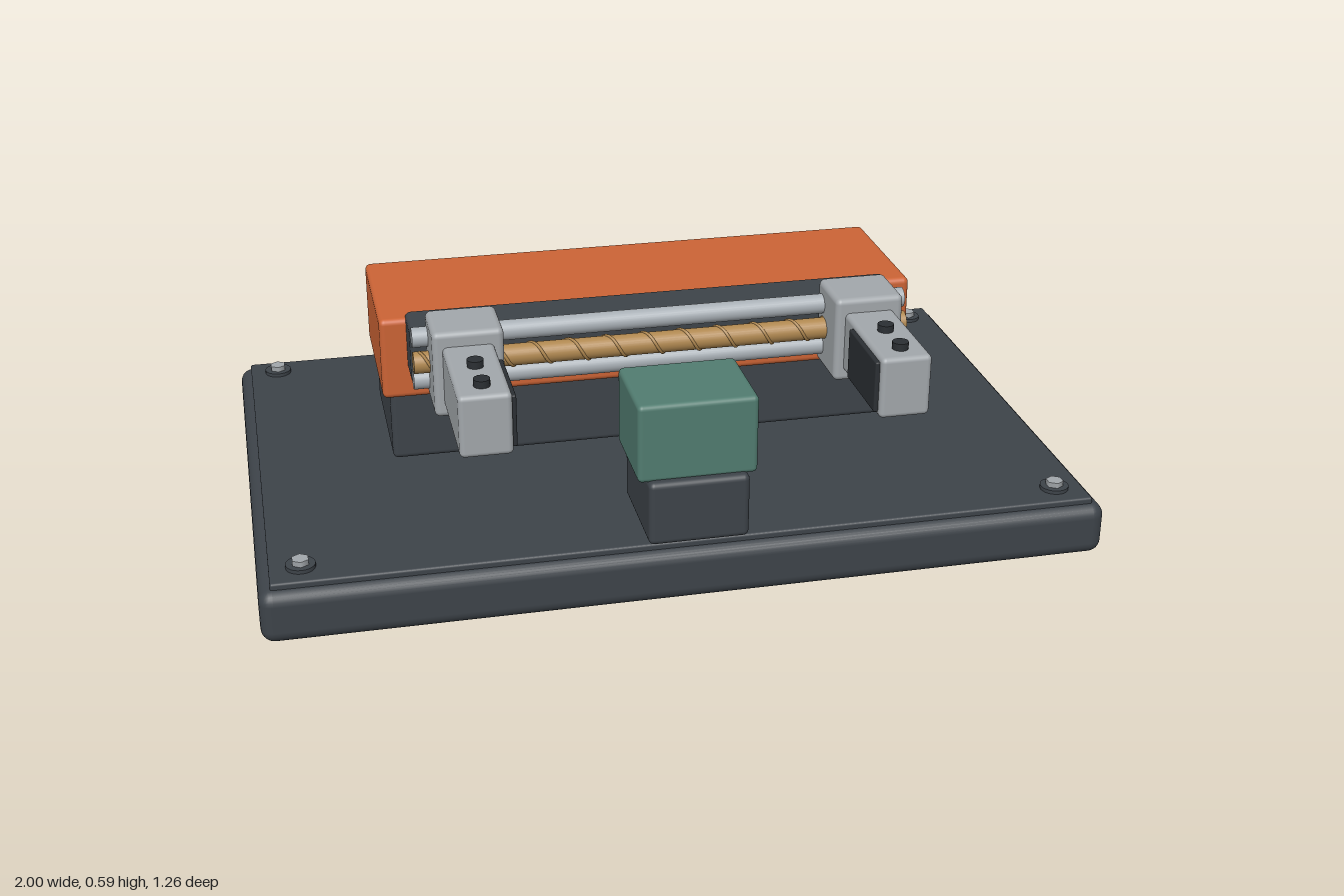
import * as THREE from 'three';
import { RoundedBoxGeometry } from 'three/addons/geometries/RoundedBoxGeometry.js';

const mat = (name, color) => {
  const m = new THREE.MeshStandardMaterial({ color });
  m.name = name;
  return m;
};

export function createModel() {
  const charcoal = mat('charcoal', 0x3d4349);
  const orange = mat('orange', 0xcb6335);
  const lightGrey = mat('light grey', 0xa2a7ab);
  const steel = mat('steel', 0xa9b0b6);
  const teal = mat('teal', 0x517c70);
  const brass = mat('brass', 0xb08850);
  const black = mat('black', 0x2b2f33);

  const model = new THREE.Group();
  model.name = 'parallelGripper';

  const add = (name, geometry, material, x = 0, y = 0, z = 0, parent = model) => {
    const mesh = new THREE.Mesh(geometry, material);
    mesh.name = name;
    mesh.position.set(x, y, z);
    parent.add(mesh);
    return mesh;
  };
  // Rounded box given by its lower and upper limits on each axis
  const box = (name, material, [x0, x1], [y0, y1], [z0, z1], r = 0.012, parent = model) =>
    add(name, new RoundedBoxGeometry(x1 - x0, y1 - y0, z1 - z0, 3, r), material,
      (x0 + x1) / 2, (y0 + y1) / 2, (z0 + z1) / 2, parent);
  // Rod lying along x
  const rod = (name, material, r, length, y, z) =>
    add(name, new THREE.CylinderGeometry(r, r, length, 28).rotateZ(Math.PI / 2), material, 0, y, z);

  // Base slab and raised deck
  box('baseSlab', charcoal, [-1, 1], [0, 0.13], [-0.632, 0.632], 0.032);
  box('deckPlate', charcoal, [-0.972, 0.972], [0.11, 0.144], [-0.607, 0.607], 0.006);

  // Corner bolts with washers
  for (const x of [-0.9, 0.9]) for (const z of [-0.54, 0.54]) {
    const bolt = new THREE.Group();
    bolt.name = 'cornerBolt';
    bolt.position.set(x, 0, z);
    model.add(bolt);
    add('washer', new THREE.CylinderGeometry(0.034, 0.034, 0.012, 24), charcoal, 0, 0.147, 0, bolt);
    add('boltHead', new THREE.CylinderGeometry(0.021, 0.021, 0.016, 6), lightGrey, 0, 0.158, 0, bolt);
  }

  // Drive housing with its cover and the rail block in front
  box('driveHousing', charcoal, [-0.645, 0.645], [0.153, 0.395], [-0.312, 0.072], 0.014);
  box('housingCover', orange, [-0.664, 0.664], [0.33, 0.537], [-0.295, 0.099], 0.014);
  box('railBlock', charcoal, [-0.6, 0.6], [0.403, 0.548], [0.07, 0.19], 0.014);

  // Guide rods and lead screw
  for (const y of [0.435, 0.542]) rod('guideRod', steel, 0.024, 1.2, y, 0.224);
  const screwY = 0.487, screwZ = 0.246;
  rod('leadScrew', brass, 0.026, 1.2, screwY, screwZ);
  const pitch = 0.09, turns = 13, points = [];
  for (let i = 0; i <= turns * 12; i++) {
    const a = (i / 12) * Math.PI * 2;
    points.push(new THREE.Vector3((i / 12 - turns / 2) * pitch, Math.cos(a) * 0.026, Math.sin(a) * 0.026));
  }
  add('screwThread', new THREE.TubeGeometry(new THREE.CatmullRomCurve3(points), turns * 20, 0.004, 6),
    brass, 0, screwY, screwZ);

  // Two carriages, each with a finger arm, inner grip pad and two bolts
  for (const s of [-1, 1]) {
    const finger = new THREE.Group();
    finger.name = s > 0 ? 'leftFinger' : 'rightFinger';
    finger.position.x = s * 0.48;
    model.add(finger);
    box('carriage', lightGrey, [-0.083, 0.083], [0.384, 0.595], [0.188, 0.34], 0.014, finger);
    box('fingerArm', lightGrey, [-0.06, 0.06], [0.411, 0.56], [0.31, 0.615], 0.012, finger);
    const pad = box('gripPad', black, [-0.008, 0.008], [0.423, 0.547], [0.4, 0.6], 0.004, finger);
    pad.position.x = -s * 0.062;
    for (const z of [0.455, 0.56])
      add('fingerBolt', new THREE.CylinderGeometry(0.019, 0.019, 0.03, 16), black, 0, 0.562, z, finger);
  }

  // Workpiece on its pedestal
  box('pedestal', charcoal, [-0.118, 0.118], [0.148, 0.306], [0.357, 0.624], 0.014);
  box('workpiece', teal, [-0.14, 0.14], [0.3, 0.492], [0.377, 0.604], 0.012);

  return model;
}
